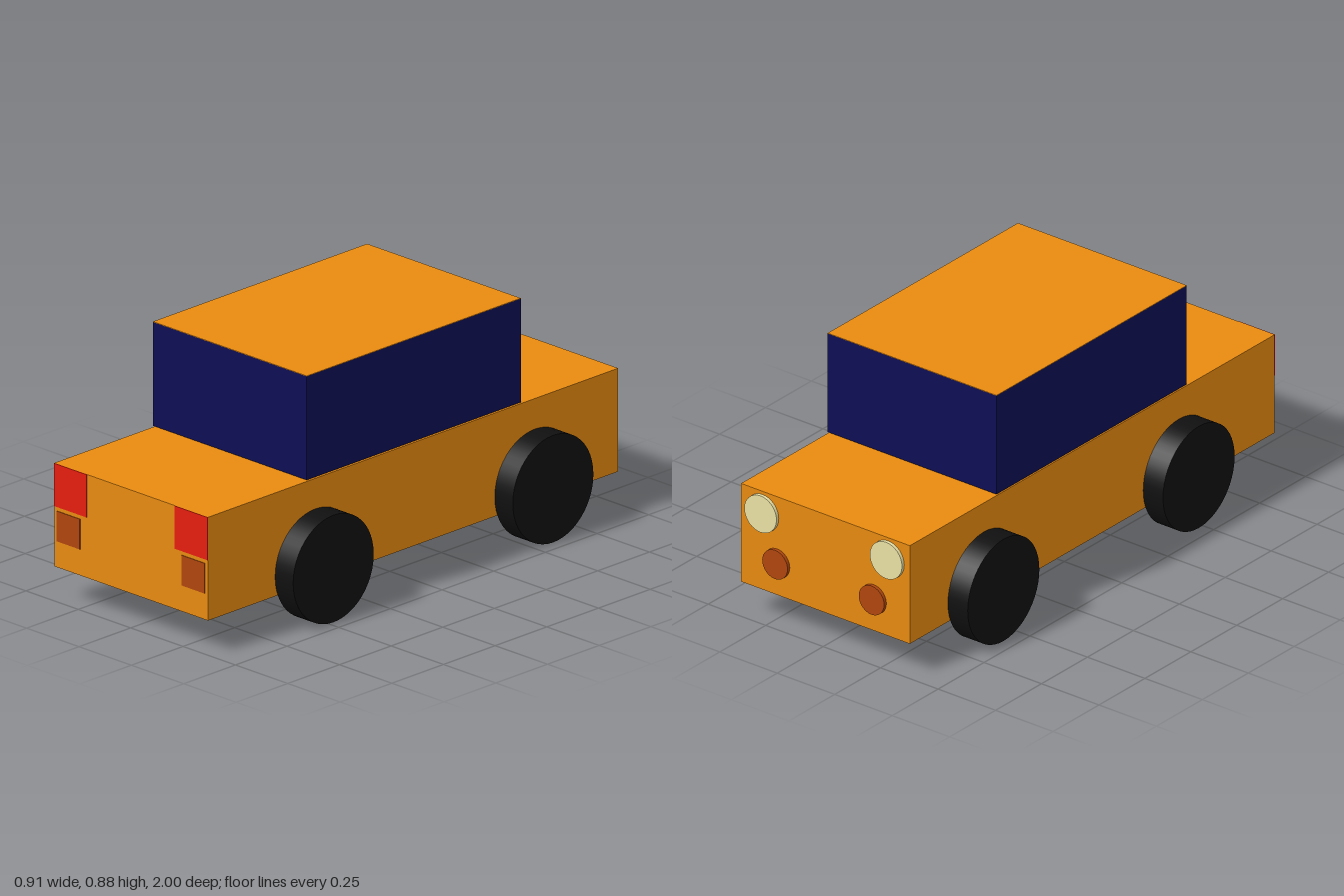
import * as THREE from 'three';

const paint = (color) => new THREE.MeshStandardMaterial({ color });

export function createModel() {
  const car = new THREE.Group();
  car.name = 'car';

  const orange = paint(0xe88a10);
  const navy = paint(0x0e0e54);
  const black = paint(0x101010);
  const red = paint(0xe61e10);
  const amber = paint(0xb0460e);
  const cream = paint(0xe9e0a4);

  const add = (name, geometry, material, x, y, z) => {
    const mesh = new THREE.Mesh(geometry, material);
    mesh.name = name;
    mesh.position.set(x, y, z);
    car.add(mesh);
    return mesh;
  };

  // Lower body, and a cabin sitting just above it with a painted roof
  add('body', new THREE.BoxGeometry(0.734, 0.376, 1.985), orange, 0, 0.313, 0.005);
  add('cabin', new THREE.BoxGeometry(0.734, 0.377, 1.036), navy, 0, 0.6945, 0.002);
  add('roof', new THREE.BoxGeometry(0.734, 0.002, 1.036), orange, 0, 0.884, 0.002);

  // Shared wheel and round lamp shapes
  const wheel = new THREE.CylinderGeometry(0.195, 0.195, 0.086, 48).rotateZ(Math.PI / 2);
  const disc = (r) => new THREE.CylinderGeometry(r, r, 0.014, 32).rotateX(Math.PI / 2);
  const largeDisc = disc(0.07);
  const smallDisc = disc(0.055);

  for (const [side, s] of [['left', 1], ['right', -1]]) {
    // Wheels against the body sides
    add(side + 'FrontWheel', wheel, black, s * 0.41, 0.195, 0.478);
    add(side + 'RearWheel', wheel, black, s * 0.41, 0.195, -0.585);

    // Square lamps on the +z end
    add(side + 'RedLamp', new THREE.BoxGeometry(0.157, 0.156, 0.004), red, s * 0.2885, 0.423, 0.998);
    add(side + 'SquareIndicator', new THREE.BoxGeometry(0.11, 0.11, 0.004), amber, s * 0.298, 0.275, 0.998);

    // Round lamps on the -z end
    add(side + 'RoundLamp', largeDisc, cream, s * 0.273, 0.419, -0.993);
    add(side + 'RoundIndicator', smallDisc, amber, s * 0.21, 0.246, -0.993);
  }

  return car;
}
